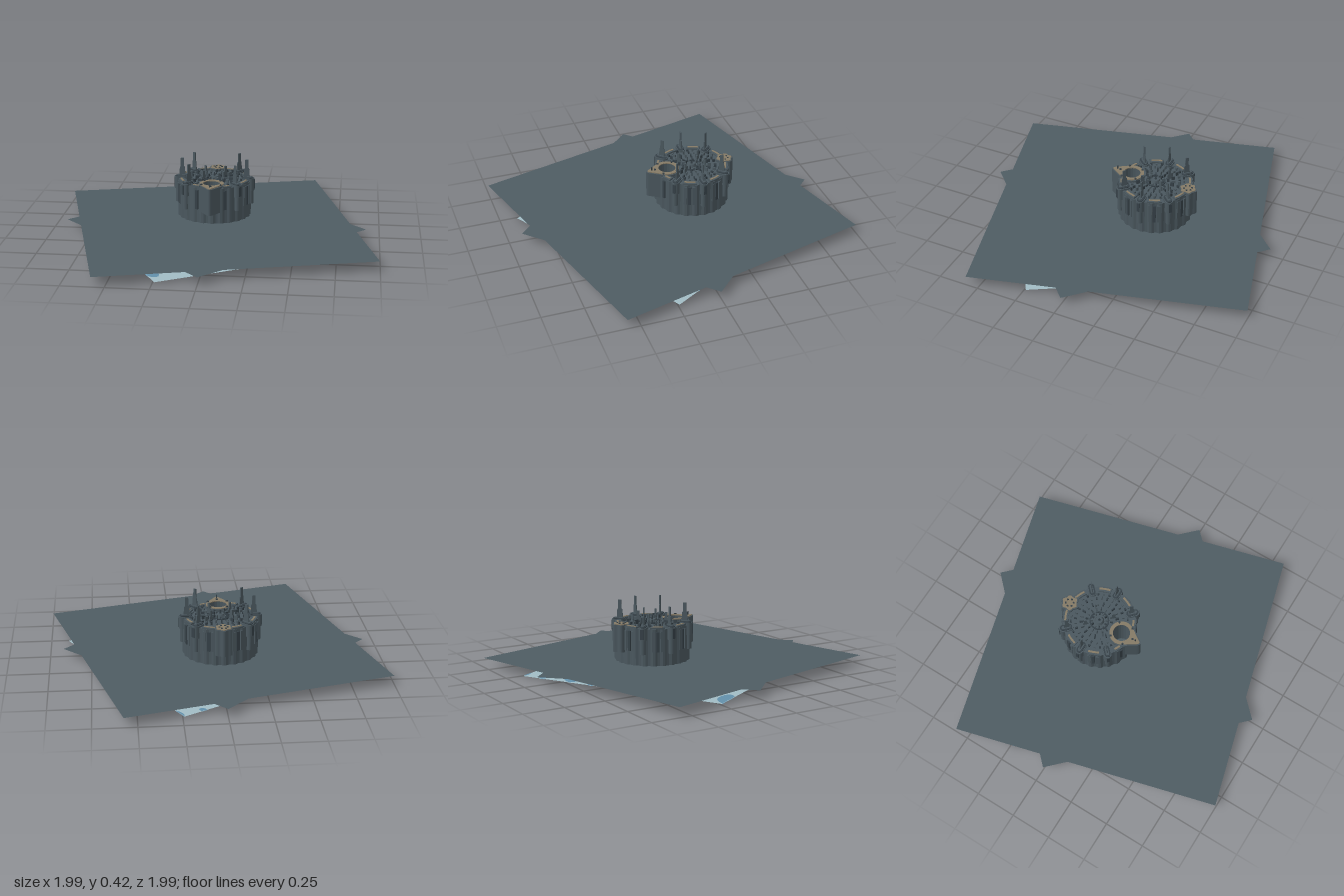
import * as THREE from 'three';

const mat = (name, color, side = THREE.FrontSide) => {
  const m = new THREE.MeshStandardMaterial({ color, side });
  m.name = name;
  return m;
};

export function createModel() {
  const sea = mat('slate sheet', 0x4e5c63, THREE.DoubleSide);
  const pale = mat('pale blue', 0xa1bcc4, THREE.DoubleSide);
  const blue = mat('patch blue', 0x6390ab, THREE.DoubleSide);
  const hullMat = mat('hull slate', 0x4a575e);
  const darkMat = mat('dark slate', 0x364148);
  const tan = mat('tan', 0x857a66);

  const root = new THREE.Group();
  const add = (parent, name, geo, material) => {
    const m = new THREE.Mesh(geo, material);
    m.name = name;
    parent.add(m);
    return m;
  };
  // Upright prism from a plan outline (plan y points to the back)
  const slab = (parent, name, shape, y0, y1, material) => {
    const g = new THREE.ExtrudeGeometry(shape, { depth: y1 - y0, bevelEnabled: false, curveSegments: 10 });
    g.rotateX(-Math.PI / 2).translate(0, y0, 0);
    return add(parent, name, g, material);
  };
  const box = (parent, name, w, h, d, x, y, z, material) =>
    add(parent, name, new THREE.BoxGeometry(w, h, d).translate(x, y + h / 2, z), material);

  // Three square sheets, each turned differently
  const sheet = (name, size, y, deg, material) => {
    const m = add(root, name, new THREE.PlaneGeometry(size, size).rotateX(-Math.PI / 2), material);
    m.position.y = y;
    m.rotation.y = THREE.MathUtils.degToRad(deg);
    return m;
  };
  const S = 1.31, H = S / 2;
  sheet('upperSheet', 1.628, 0.057, 15, sea);
  sheet('middleSheet', 1.3, 0.05, 45, sea);
  const lower = sheet('lowerSheet', S, 0.002, 30, pale);

  // Repeating cloud patches on both faces of the lower sheet
  const patch = (a, b, ra, rb, lobes) => {
    const pts = [];
    for (let i = 0; i < 28; i++) {
      const t = (i / 28) * Math.PI * 2;
      const r = 1 + lobes * (0.16 * Math.cos(2 * t) + 0.1 * Math.sin(3 * t));
      // long axis runs at a slant to the sheet edges
      const p = ra * r * Math.cos(t), q = rb * r * Math.sin(t);
      const u = (a - 0.5) * S + p * 0.94 - q * 0.34;
      const v = (b - 0.5) * S + p * 0.34 + q * 0.94;
      pts.push(new THREE.Vector2(THREE.MathUtils.clamp(-v, -H, H), THREE.MathUtils.clamp(u, -H, H)));
    }
    const g = new THREE.ShapeGeometry(new THREE.Shape(pts)).rotateX(-Math.PI / 2);
    for (const y of [-0.002, 0.002]) add(lower, 'cloudPatch', g, blue).position.y = y;
  };
  for (let i = 0; i < 4; i++) {
    for (let j = -1; j < 4; j++) {
      const a = 0.127 + 0.267 * i, b = 0.22 + 0.255 * j;
      patch(a, b, 0.085, 0.053, 1);
      if (b > 0.12) patch(a + 0.064, b - 0.12, 0.025, 0.019, 0);
    }
  }

  // Round city
  const city = new THREE.Group();
  city.name = 'city';
  city.position.set(-0.022, 0, -0.16);
  root.add(city);
  const HOLE = [0, -0.158, 0.052];
  const punch = (shape) => {
    shape.holes.push(new THREE.Path().absarc(...HOLE, 0, Math.PI * 2, true));
    return shape;
  };

  // Ribbed hull with an open well at the front
  const rim = [];
  for (let k = 0; k < 96; k++) {
    const t = (k / 96) * Math.PI * 2, r = k % 4 < 2 ? 0.226 : 0.219;
    rim.push(new THREE.Vector2(Math.cos(t) * r, Math.sin(t) * r));
  }
  slab(city, 'hull', punch(new THREE.Shape(rim)), 0.075, 0.295, hullMat);

  // Plan outlines
  const capsule = (x, len, wid) => {
    const r = wid / 2, l = len / 2 - r, s = new THREE.Shape();
    s.absarc(x + l, 0, r, -Math.PI / 2, Math.PI / 2, false);
    s.absarc(x - l, 0, r, Math.PI / 2, Math.PI * 1.5, false);
    return s;
  };
  const arcBand = (r0, r1, a0, a1) => {
    const s = new THREE.Shape();
    s.absarc(0, 0, r1, a0, a1, false);
    s.absarc(0, 0, r0, a1, a0, true);
    return s;
  };
  // Tapered thin blade standing along the radius
  const blade = (parent, name, x, y, w, h, t, material) => {
    const s = new THREE.Shape([[-w / 2, 0], [w / 2, 0], [w * 0.4, h * 0.45], [w * 0.27, h * 0.5],
      [w * 0.25, h], [-w * 0.25, h], [-w * 0.27, h * 0.5], [-w * 0.4, h * 0.45]]
      .map(([px, py]) => new THREE.Vector2(px, py)));
    const g = new THREE.ExtrudeGeometry(s, { depth: t, bevelEnabled: false });
    return add(parent, name, g.translate(x, y, -t / 2), material);
  };

  // Six pods with towers; gaps carry tan-topped rim bands and wall panels
  const deg = THREE.MathUtils.degToRad;
  for (let k = 0; k < 8; k++) {
    const spoke = new THREE.Group();
    spoke.name = 'spoke';
    spoke.rotation.y = k * Math.PI / 4;
    city.add(spoke);
    if (k !== 2 && k !== 6) {
      slab(spoke, 'podBase', capsule(0.205, 0.074, 0.036), 0.145, 0.23, hullMat);
      slab(spoke, 'pod', capsule(0.205, 0.086, 0.048), 0.23, 0.306, hullMat);
      slab(spoke, 'podCap', capsule(0.205, 0.074, 0.036), 0.306, 0.311, darkMat);
      slab(spoke, 'podTop', capsule(0.205, 0.056, 0.02), 0.311, 0.316, hullMat);
      blade(spoke, 'tower', 0.2, 0.316, 0.038, 0.106, 0.006, hullMat);
      box(spoke, 'podPanel', 0.006, 0.06, 0.018, 0.247, 0.238, 0, darkMat);
    }
    const front = k === 5 || k === 6;
    const a0 = deg(k === 6 ? 19 : 11), a1 = deg(k === 5 ? 26 : 34);
    slab(spoke, 'rimBand', arcBand(0.188, 0.222, a0, a1), 0.295, 0.305, hullMat);
    slab(spoke, 'rimStripe', arcBand(0.2, 0.212, a0 + 0.04, a1 - 0.04), 0.305, 0.308, tan);
    for (const a of front ? [22.5] : [16, 22.5, 29]) {
      const panel = new THREE.Group();
      panel.name = 'wallPanel';
      panel.rotation.y = deg(a);
      spoke.add(panel);
      box(panel, 'panel', 0.01, 0.12, 0.018, 0.224, 0.16, 0, a === 22.5 ? darkMat : hullMat);
    }
  }

  // Front landing ring with a pointed tip
  const ringShape = (o) => {
    const s = new THREE.Shape();
    s.absarc(0, HOLE[1], 0.082 - o, deg(-38), deg(218), false);
    s.lineTo(-0.02 + o * 0.5, -0.275 + o);
    s.quadraticCurveTo(0, -0.306 + o, 0.02 - o * 0.5, -0.275 + o);
    return punch(s);
  };
  slab(city, 'frontPlatform', ringShape(0), 0.145, 0.308, hullMat);
  slab(city, 'frontPlatformTop', ringShape(0.008), 0.308, 0.313, tan);
  for (const [x, z] of [[0, 0.235], [-0.058, 0.2], [0.058, 0.2], [-0.05, 0.112], [0.05, 0.112]]) {
    add(city, 'platformBolt', new THREE.CylinderGeometry(0.007, 0.007, 0.006, 8).translate(x, 0.315, z), darkMat);
  }
  box(city, 'tipMast', 0.004, 0.022, 0.008, 0, 0.313, 0.255, darkMat);

  // Rear lobed platform
  const lobed = (r) => new THREE.Shape(Array.from({ length: 48 }, (_, i) => {
    const t = (i / 48) * Math.PI * 2, q = r * (1 + 0.1 * Math.cos(6 * t + Math.PI));
    return new THREE.Vector2(Math.cos(t) * q, 0.212 + Math.sin(t) * q);
  }));
  slab(city, 'rearPlatform', lobed(0.052), 0.145, 0.308, hullMat);
  slab(city, 'rearPlatformTop', lobed(0.044), 0.308, 0.312, tan);
  for (let i = 0; i < 6; i++) {
    const t = (i / 6) * Math.PI * 2;
    add(city, 'platformBolt', new THREE.CylinderGeometry(0.006, 0.006, 0.005, 8)
      .translate(Math.cos(t) * 0.024, 0.313, -0.212 + Math.sin(t) * 0.024), darkMat);
  }

  // Deck rings of small blocks, kept clear of the platforms
  for (const [r, n, len, wid, h] of [[0.045, 12, 0.014, 0.008, 0.014], [0.075, 16, 0.016, 0.006, 0.012],
    [0.108, 20, 0.022, 0.007, 0.016], [0.145, 28, 0.016, 0.008, 0.012], [0.172, 32, 0.01, 0.012, 0.01]]) {
    for (let i = 0; i < n; i++) {
      const t = (i / n) * Math.PI * 2;
      const x = Math.cos(t) * r, z = -Math.sin(t) * r;
      if (Math.hypot(x, z - 0.158) < 0.09 || Math.hypot(x, z + 0.212) < 0.06) continue;
      const b = box(city, 'deckBlock', len, h + (i % 3) * 0.005, wid, 0, 0.295, 0, i % 2 ? darkMat : hullMat);
      b.position.set(x, 0, z);
      b.rotation.y = t;
    }
  }

  // Central hub and four small spires
  slab(city, 'hubRing', arcBand(0.052, 0.06, 0, Math.PI * 1.999), 0.295, 0.303, darkMat);
  add(city, 'hub', new THREE.CylinderGeometry(0.022, 0.03, 0.02, 12).translate(0, 0.305, 0), hullMat);
  add(city, 'hubMast', new THREE.CylinderGeometry(0.003, 0.008, 0.025, 6).translate(0, 0.325, 0), darkMat);
  for (let i = 0; i < 4; i++) {
    const spire = new THREE.Group();
    spire.name = 'spire';
    spire.rotation.y = Math.PI / 4 + i * Math.PI / 2;
    city.add(spire);
    blade(spire, 'spireBlade', 0.087, 0.295, 0.03, 0.065, 0.008, hullMat);
  }
  return root;
}
